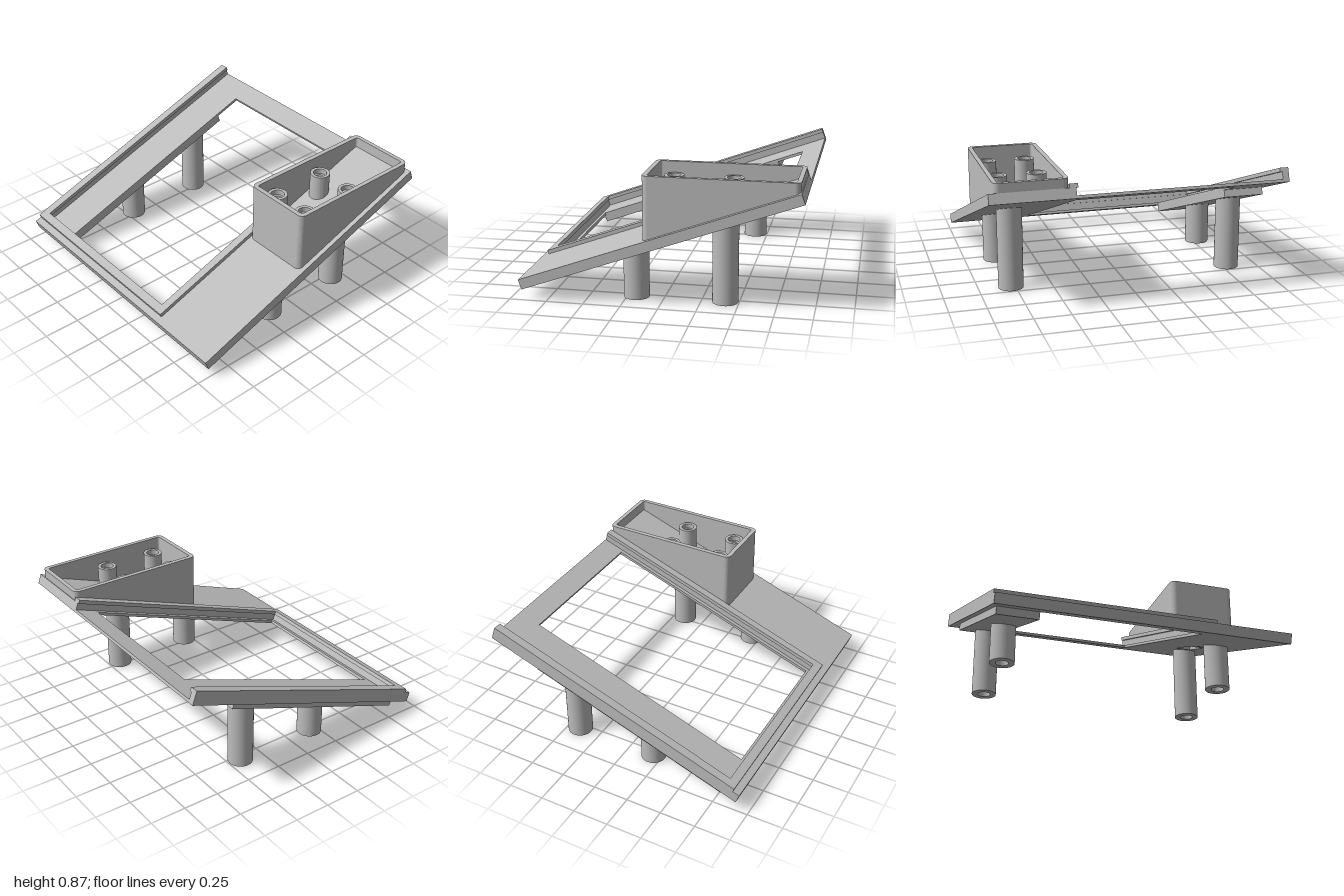
import * as THREE from 'three';
import { toCreasedNormals } from 'three/addons/utils/BufferGeometryUtils.js';

const TILT = THREE.MathUtils.degToRad(20);
const BASE_Y = 0.4075, BASE_Z = -0.0075;   // centre of the plate's underside
const HALF = 0.9815;                       // half the plate's sloped length
const ON_SLOPE = -9;                       // marks heights that end on the sloped plate

// Height of the sloped plane lying h above the plate's underside
const slopeY = (z, h) => BASE_Y + h / Math.cos(TILT) - Math.tan(TILT) * (z - BASE_Z);

// Closed outline from [x, z] points
const outline = (pts, Type = THREE.Shape) =>
  new Type(pts.map(([x, z]) => new THREE.Vector2(x, -z)));
const rect = (x0, x1, z0, z1) => [[x0, z1], [x1, z1], [x1, z0], [x0, z0]];

function roundedRect(x0, x1, z0, z1, r, Type = THREE.Shape) {
  const s = new Type();
  s.absarc(x1 - r, -z1 + r, r, -Math.PI / 2, 0);
  s.absarc(x1 - r, -z0 - r, r, 0, Math.PI / 2);
  s.absarc(x0 + r, -z0 - r, r, Math.PI / 2, Math.PI);
  s.absarc(x0 + r, -z1 + r, r, Math.PI, Math.PI * 1.5);
  s.closePath();
  return s;
}

// Slab between heights y0 and y1
function slab(shape, y0, y1) {
  return new THREE.ExtrudeGeometry(shape, { depth: y1 - y0, bevelEnabled: false, curveSegments: 10 })
    .rotateX(-Math.PI / 2).translate(0, y0, 0);
}

// Move the marked vertices onto the sloped plane
function fitToSlope(geo, h) {
  const p = geo.attributes.position;
  for (let i = 0; i < p.count; i++)
    if (Math.abs(p.getY(i) - ON_SLOPE) < 1e-4) p.setY(i, slopeY(p.getZ(i), h));
  return geo;
}

function turnedPost(profile, x, z, h) {
  const geo = new THREE.LatheGeometry(profile.map(([r, y]) => new THREE.Vector2(r, y)), 40);
  return toCreasedNormals(fitToSlope(geo.translate(x, 0, z), h), 0.6);
}

export function createModel() {
  const model = new THREE.Group();
  const grey = new THREE.MeshStandardMaterial({ color: 0xbdbdbd });
  grey.name = 'grey plastic';
  const add = (parent, name, geo) => {
    const mesh = new THREE.Mesh(geo, grey);
    mesh.name = name;
    parent.add(mesh);
  };

  // Tilted plate, built in layers
  const plate = new THREE.Group();
  plate.name = 'tiltedPlate';
  plate.position.set(0, BASE_Y, BASE_Z);
  plate.rotation.x = TILT;
  model.add(plate);

  // Cable slot and small round hole pass through both plate layers
  const cutHoles = (shape) => {
    shape.holes.push(outline(rect(0.675, 0.78, -0.305, -0.045), THREE.Path));
    const round = new THREE.Path();
    round.absarc(0.73, -0.03, 0.027, 0, Math.PI * 2);
    shape.holes.push(round);
    return shape;
  };

  // Thin floor with the large window
  const floor = cutHoles(outline(rect(-1, 1, -HALF, HALF)));
  floor.holes.push(outline(rect(-0.68, 0.415, -0.819, 0.852), THREE.Path));
  add(plate, 'plateFloor', slab(floor, 0, 0.02));

  // Body around the slide-in recess, open at the back
  const body = cutHoles(outline([
    [-1, HALF], [1, HALF], [1, -HALF], [0.443, -HALF],
    [0.443, 0.885], [-0.955, 0.885], [-0.955, -HALF], [-1, -HALF],
  ]));
  add(plate, 'plateBody', slab(body, 0.02, 0.07));

  // Raised rails overhanging the recess
  add(plate, 'retainingRails', slab(outline([
    [-1, 0.932], [0.485, 0.932], [0.485, -HALF], [0.43, -HALF],
    [0.43, 0.872], [-0.94, 0.872], [-0.94, -HALF], [-1, -HALF],
  ]), 0.07, 0.097));

  // Stiffening strip under the right side
  add(plate, 'underStrip', slab(outline(rect(-0.96, -0.68, -0.617, 0.862)), -0.051, 0.002));

  // Open box with level rim and sloped foot
  const wall = roundedRect(0.485, 0.968, -0.9, 0.11, 0.04);
  wall.holes.push(roundedRect(0.517, 0.938, -0.87, 0.078, 0.015, THREE.Path));
  const box = slab(wall, 0, 0.87);
  const bp = box.attributes.position;
  for (let i = 0; i < bp.count; i++) if (bp.getY(i) < 0.01) bp.setY(i, ON_SLOPE);
  add(model, 'openBox', fitToSlope(box, 0.06));

  // Screw posts inside the box
  for (const x of [0.595, 0.86])
    for (const z of [-0.43, 0.03 - 0.06])
      add(model, 'screwPost', turnedPost([
        [0.068, ON_SLOPE], [0.068, 0.797], [0.046, 0.797], [0.046, 0.76],
        [0.03, 0.76], [0.03, 0.71], [0, 0.71],
      ], x, z, 0.06));

  // Hollow legs, cut to the slope at the top
  for (const x of [-0.785, 0.78])
    for (const z of [0.188, -0.408])
      add(model, 'leg', turnedPost([
        [0.044, ON_SLOPE], [0.044, 0], [0.086, 0], [0.086, ON_SLOPE],
      ], x, z, 0.01));

  return model;
}
